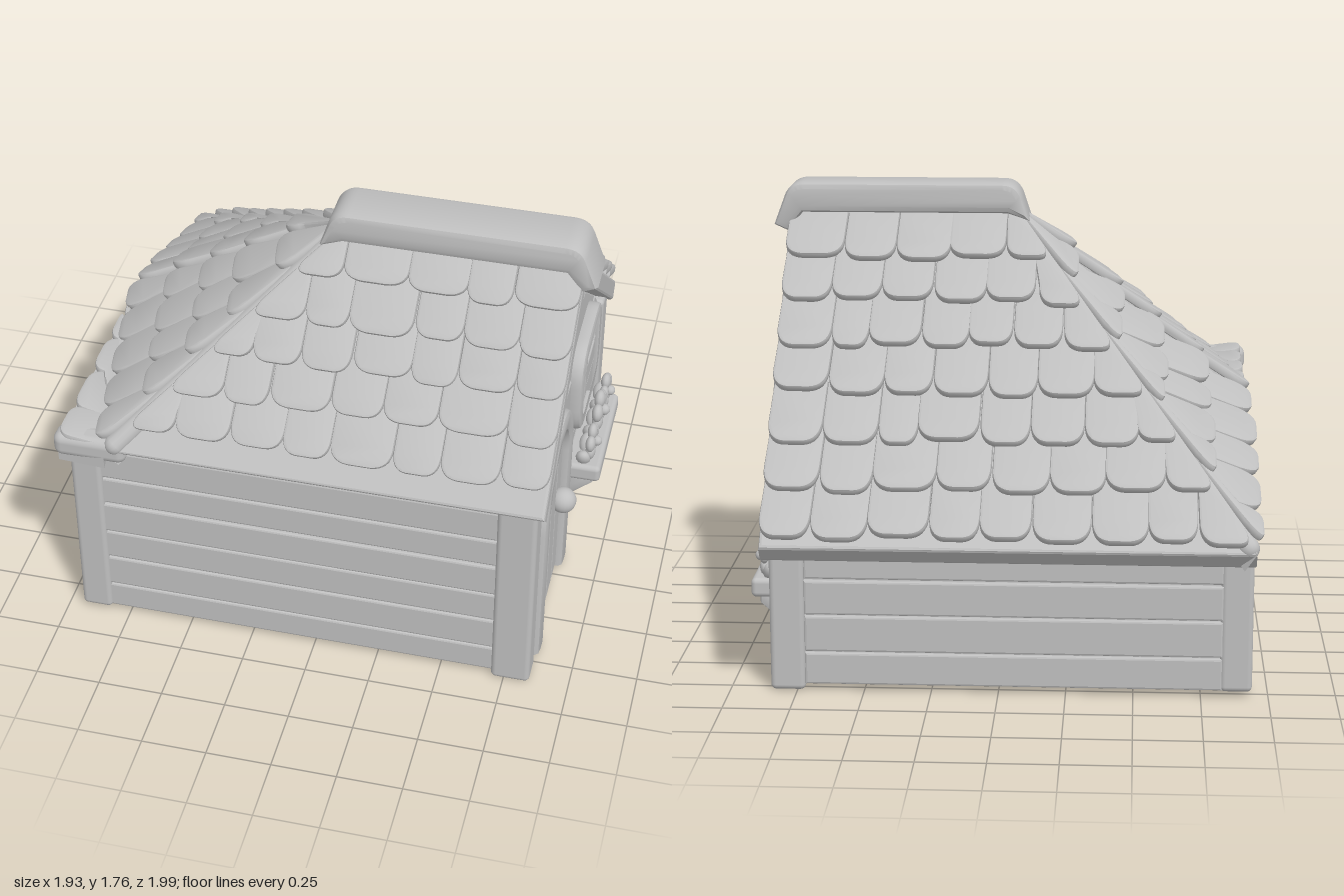
import * as THREE from 'three';
import { mergeGeometries, toCreasedNormals } from 'three/addons/utils/BufferGeometryUtils.js';
import { RoundedBoxGeometry } from 'three/addons/geometries/RoundedBoxGeometry.js';

const V = (x, y, z) => new THREE.Vector3(x, y, z);
const { lerp, clamp } = THREE.MathUtils;

export function createModel() {
  const house = new THREE.Group();
  house.name = 'cottage';
  const clay = new THREE.MeshStandardMaterial({ color: 0xbfbfbf });
  clay.name = 'plain grey';

  let seed = 7;
  const rand = () => (seed = (seed * 16807) % 2147483647) / 2147483647;

  const add = (name, geo, parent = house) => {
    const m = new THREE.Mesh(geo, clay);
    m.name = name;
    parent.add(m);
    return m;
  };
  const poly = pts => new THREE.Shape(pts.map(p => new THREE.Vector2(p[0], p[1])));
  // Extrusion from z = 0 to depth whose bevel stays inside the outline
  const extrude = (shape, depth, b = 0) => {
    const g = new THREE.ExtrudeGeometry(shape, {
      depth: depth - 2 * b, bevelEnabled: b > 0, bevelThickness: b, bevelSize: b,
      bevelOffset: -b, bevelSegments: 2, curveSegments: 8
    });
    return g.translate(0, 0, b);
  };
  const smooth = g => toCreasedNormals(g, 0.7);
  const box = (name, w, h, d, x, y, z, r = 0.02, parent = house) => {
    const m = add(name, new RoundedBoxGeometry(w, h, d, 3, r), parent);
    m.position.set(x, y, z);
    return m;
  };
  const wallGroup = (name, angle) => {
    const g = new THREE.Group();
    g.name = name;
    g.rotation.y = angle;
    house.add(g);
    return g;
  };

  // Solid core: tall part under the ridge, low part under the hip
  const right = wallGroup('gableWall', Math.PI / 2);
  add('gableCore', extrude(poly([[-0.83, 0.03], [0.77, 0.03], [0.77, 0.65], [-0.34, 1.54], [-0.83, 0.98]]), 0.78), right)
    .position.z = 0.02;
  add('hipCore', extrude(poly([[-0.83, 0.03], [0.77, 0.03], [0.77, 0.6], [-0.05, 0.87], [-0.83, 0.87]]), 0.9), right)
    .position.z = -0.88;

  // Horizontal boards, clipped to the wall outline lo(y)..hi(y)
  const planks = (parent, dist, top, lo, hi) => {
    const parts = [];
    let y = 0.035;
    while (y < top - 0.03) {
      const y1 = Math.min(top, y + 0.115 + rand() * 0.03), g = 0.006;
      const d = 0.025 + rand() * 0.008;
      parts.push(extrude(poly([[lo(y), y], [hi(y), y], [hi(y1 - g), y1 - g], [lo(y1 - g), y1 - g]]), d, 0.008)
        .translate(0, 0, dist));
      y = y1;
    }
    add('planks', mergeGeometries(parts), parent);
  };
  planks(right, 0.795, 1.49,
    y => -Math.min(0.78, 0.34 + (1.53 - y) / 1.09),
    y => -Math.max(-0.7, 0.34 - (1.53 - y) / 0.79));
  planks(wallGroup('frontWall', 0), 0.825, 0.95, () => -0.83, () => 0.72);
  planks(wallGroup('backWall', Math.PI), 0.765, 0.66, () => -0.72, () => 0.83);
  planks(wallGroup('leftWall', -Math.PI / 2), 0.875, 0.88,
    y => Math.max(-0.7, -0.7 + (y - 0.62) * 2.6), () => 0.78);

  // Corner posts
  box('frontLeftPost', 0.15, 0.98, 0.12, 0.775, 0.5, 0.81);
  box('frontRightPost', 0.12, 0.87, 0.12, -0.88, 0.465, 0.81);
  box('backLeftPost', 0.13, 0.69, 0.12, 0.785, 0.355, -0.735);
  box('backRightPost', 0.12, 0.62, 0.12, -0.88, 0.34, -0.735);

  // A roof face through eave points a, b and top points c, d (c = d for a triangle)
  const roofFace = (name, [a, b, c, d], { rows, t0 = 0, t1 = 0.95, bevel = 0, lift = 0.04 }) => {
    const u = b.clone().sub(a).normalize();
    const n = u.clone().cross(d.clone().sub(a)).normalize();
    const v = n.clone().cross(u);
    const to2 = p => { const q = p.clone().sub(a); return new THREE.Vector2(q.dot(u), q.dot(v)); };
    const at = (s, t) => to2(a.clone().lerp(d, t).lerp(b.clone().lerp(c, t), s));
    const g = new THREE.Group();
    g.name = name;
    g.matrix.makeBasis(u, v, n).setPosition(a);
    g.matrix.decompose(g.position, g.quaternion, g.scale);
    house.add(g);

    const outline = [a, b, c];
    if (c !== d) outline.push(d);
    add('roofBoard', extrude(new THREE.Shape(outline.map(to2)), 0.085, bevel).translate(0, 0, -0.085), g);

    // Overlapping shingles with rounded lower corners, cut off along the hips
    const tiles = [], step = (t1 - t0) / rows;
    for (let r = 0; r < rows; r++) {
      const lo = t0 + r * step, hi = Math.min(0.98, lo + step * 1.35);
      const count = Math.max(1, Math.round(at(0, lo).distanceTo(at(1, lo)) / 0.2));
      const cuts = [0];
      for (let i = 1; i < count; i++) cuts.push((i + (rand() - 0.5) * 0.25) / count);
      cuts.push(1);
      for (let i = 0; i < count; i++) {
        const low = Math.max(0, lo + (rand() - 0.5) * step * 0.14);
        const p = (s, k) => {
          const t = lerp(low, hi, k), L = at(0, t), R = at(1, t);
          const x = at(lerp(cuts[i], cuts[i + 1], s), low).x;
          const gap = Math.min(0.04, (R.x - L.x) * 0.5);
          return new THREE.Vector2(clamp(x, L.x + gap * s, R.x - gap * (1 - s)), L.y);
        };
        const sh = new THREE.Shape();
        const go = (m, ...q) => sh[m](...q.flatMap(e => [e.x, e.y]));
        go('moveTo', p(0, 1));
        go('lineTo', p(0, 0.36));
        go('quadraticCurveTo', p(0, 0.02), p(0.32, 0));
        go('lineTo', p(0.68, 0));
        go('quadraticCurveTo', p(1, 0.02), p(1, 0.36));
        go('lineTo', p(1, 1));
        const geo = extrude(sh, 0.036, 0.01);
        const pos = geo.attributes.position, v0 = p(0, 0).y, v1 = p(0, 1).y, tip = lift + rand() * 0.01;
        for (let j = 0; j < pos.count; j++)
          pos.setZ(j, pos.getZ(j) - 0.008 + tip * (1 - (pos.getY(j) - v0) / (v1 - v0)));
        tiles.push(smooth(geo));
      }
    }
    add('shingles', mergeGeometries(tiles), g);
  };

  const apex = V(0, 1.65, 0.34), ridgeEnd = V(0.9, 1.65, 0.34);
  const backCorner = V(-0.94, 0.61, -0.96), mid = V(-0.93, 0.96, 0.02);
  const frontCorner = V(-0.94, 0.95, 0.97), hipFoot = V(-0.76, 0.95, 0.98);
  roofFace('frontRoof', [hipFoot, V(0.89, 0.95, 0.98), ridgeEnd, apex],
    { rows: 5, t0: 0.1, bevel: 0.012, lift: 0.03 });
  roofFace('backRoof', [V(0.86, 0.61, -0.96), backCorner, apex, ridgeEnd], { rows: 7, bevel: 0.012 });
  roofFace('hipRoofBack', [backCorner, mid, apex, apex], { rows: 5, t1: 0.92, lift: 0.025 });
  roofFace('hipRoofFront', [mid, hipFoot, apex, apex], { rows: 5, t1: 0.92, lift: 0.025 });
  roofFace('eaveFlare', [mid, frontCorner, hipFoot, hipFoot], { rows: 1, t1: 0.6, lift: 0.015 });
  box('eaveEnd', 0.28, 0.1, 0.1, -0.82, 0.935, 0.93, 0.035);

  // Rounded rolls closing the hip seams
  for (const corner of [hipFoot, backCorner]) {
    const dir = apex.clone().sub(corner);
    const length = dir.length();
    const roll = add('hipRoll', new THREE.CapsuleGeometry(0.04, length - 0.1, 6, 14));
    roll.quaternion.setFromUnitVectors(V(0, 1, 0), dir.normalize());
    roll.position.copy(corner).addScaledVector(dir, length / 2 + 0.01).add(V(0, -0.02, 0));
  }

  // Ridge cap with drooping ends
  const cap = new THREE.Shape();
  cap.moveTo(-0.07, 1.62);
  cap.lineTo(-0.04, 1.71);
  cap.quadraticCurveTo(-0.02, 1.77, 0.04, 1.77);
  cap.lineTo(0.83, 1.77);
  cap.quadraticCurveTo(0.89, 1.77, 0.91, 1.72);
  cap.lineTo(0.955, 1.6);
  cap.lineTo(0.9, 1.575);
  cap.lineTo(0.84, 1.65);
  cap.lineTo(0.02, 1.65);
  add('ridgeCap', smooth(extrude(cap, 0.21, 0.025))).position.z = 0.24;

  // Arched door: vertical boards, frame and knob
  const door = new THREE.Group();
  door.name = 'door';
  door.position.set(-0.42, 0, 0.8);
  right.add(door);
  const arc = (r, x0, x1, cy, n = 10) => Array.from({ length: n + 1 }, (_, i) => {
    const x = lerp(x0, x1, i / n);
    return [x, cy + Math.sqrt(Math.max(0, r * r - x * x))];
  });
  for (let i = 0; i < 4; i++) {
    const x0 = -0.23 + i * 0.115 + 0.003, x1 = x0 + 0.109;
    add('doorBoard', extrude(poly([[x1, 0.03], ...arc(0.235, x0, x1, 0.63).reverse(), [x0, 0.03]]), 0.035, 0.006), door);
  }
  const frame = new THREE.Shape();
  frame.moveTo(-0.3, 0.015);
  frame.lineTo(-0.3, 0.63);
  frame.absarc(0, 0.63, 0.3, Math.PI, 0, true);
  frame.lineTo(0.3, 0.015);
  frame.lineTo(0.215, 0.015);
  frame.lineTo(0.215, 0.63);
  frame.absarc(0, 0.63, 0.215, 0, Math.PI, false);
  frame.lineTo(-0.215, 0.015);
  add('doorFrame', smooth(extrude(frame, 0.065, 0.02)), door);
  add('doorKnob', new THREE.SphereGeometry(0.052, 20, 14), door).position.set(0.14, 0.44, 0.06);

  // Window with rounded frame and crossbars
  const win = new THREE.Group();
  win.name = 'window';
  win.position.set(0.245, 0.705, 0.8);
  right.add(win);
  const roundRect = (path, w, h, r) => {
    path.moveTo(-w, -h + r);
    path.lineTo(-w, h - r); path.quadraticCurveTo(-w, h, -w + r, h);
    path.lineTo(w - r, h); path.quadraticCurveTo(w, h, w, h - r);
    path.lineTo(w, -h + r); path.quadraticCurveTo(w, -h, w - r, -h);
    path.lineTo(-w + r, -h); path.quadraticCurveTo(-w, -h, -w, -h + r);
    return path;
  };
  const rim = roundRect(new THREE.Shape(), 0.24, 0.205, 0.15);
  rim.holes.push(roundRect(new THREE.Path(), 0.19, 0.155, 0.08));
  add('windowFrame', smooth(extrude(rim, 0.07, 0.016)), win);
  add('windowPane', extrude(roundRect(new THREE.Shape(), 0.2, 0.17, 0.08), 0.034), win);
  box('verticalBar', 0.04, 0.32, 0.03, 0, 0, 0.038, 0.01, win);
  box('horizontalBar', 0.39, 0.035, 0.03, 0, -0.03, 0.038, 0.01, win);

  // Flower box on two brackets
  const planter = new THREE.Group();
  planter.name = 'flowerBox';
  planter.position.set(0.275, 0, 0.8);
  right.add(planter);
  box('trough', 0.5, 0.075, 0.15, 0, 0.32, 0.085, 0.02, planter);
  for (const s of [-1, 1]) {
    const side = poly([[0, 0.18], [0.05, 0.18], [0.13, 0.25], [0.13, 0.3], [0, 0.3]]);
    const bracket = add('bracket', smooth(extrude(side, 0.075, 0.015)), planter);
    bracket.rotation.y = -Math.PI / 2;
    bracket.position.set(s * 0.18 + 0.037, 0, 0);
  }
  for (const [x, y, r] of [[-0.165, 0.435, 0.075], [0, 0.465, 0.085], [0.17, 0.43, 0.075]]) {
    const flower = new THREE.Group();
    flower.name = 'flower';
    flower.position.set(x, y, 0.11);
    planter.add(flower);
    for (let i = 0; i < 5; i++) {
      const t = Math.PI / 2 + i * Math.PI * 0.4;
      const petal = add('petal', new THREE.SphereGeometry(r * 0.45, 12, 8), flower);
      petal.position.set(Math.cos(t) * r * 0.6, Math.sin(t) * r * 0.6, 0);
      petal.scale.z = 0.6;
    }
    add('flowerCentre', new THREE.SphereGeometry(r * 0.28, 12, 8), flower).position.z = 0.02;
    for (const s of [-1, 1]) {
      const leaf = add('leaf', new THREE.SphereGeometry(0.045, 12, 8), planter);
      leaf.position.set(x + s * 0.045, 0.375, 0.085);
      leaf.scale.set(0.6, 1, 0.7);
      leaf.rotation.z = -s * 0.6;
    }
  }
  return house;
}
